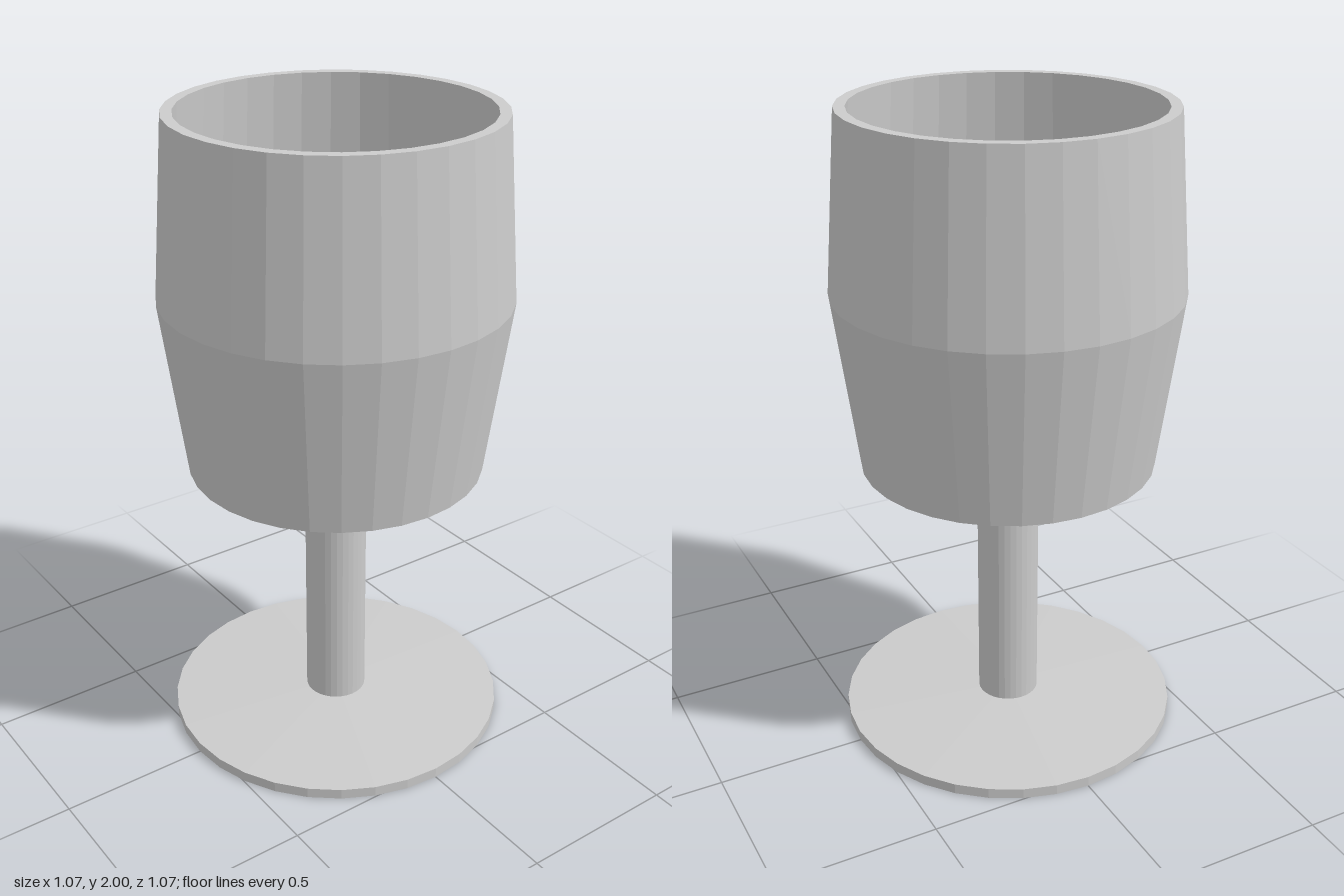
import * as THREE from 'three';

const SIDES = 32;
const STEM_R = 0.097;
const material = new THREE.MeshStandardMaterial({
  color: 0xcccccc, flatShading: true, side: THREE.DoubleSide,
});

// Revolve a list of [radius, height] pairs around the y axis
function turned(name, profile) {
  const points = profile.map(([r, y]) => new THREE.Vector2(r, y));
  const mesh = new THREE.Mesh(new THREE.LatheGeometry(points, SIDES), material);
  mesh.name = name;
  return mesh;
}

export function createModel() {
  const goblet = new THREE.Group();
  goblet.name = 'goblet';

  // Thin round foot, open in the middle below the hollow stem
  goblet.add(turned('foot', [
    [STEM_R, 0], [0.537, 0], [0.537, 0.033], [STEM_R, 0.052],
  ]));

  // Hollow stem, running up to the floor of the bowl
  goblet.add(turned('stem', [[STEM_R, 0], [STEM_R, 0.84]]));

  // Bowl: outer wall, rim, inner wall, sloped floor and flat centre
  goblet.add(turned('bowl', [
    [STEM_R, 0.8], [0.457, 0.9], [0.531, 1.453], [0.49, 2],
    [0.456, 2], [0.495, 1.453], [0.417, 0.93], [0.102, 0.84], [0, 0.84],
  ]));

  return goblet;
}
